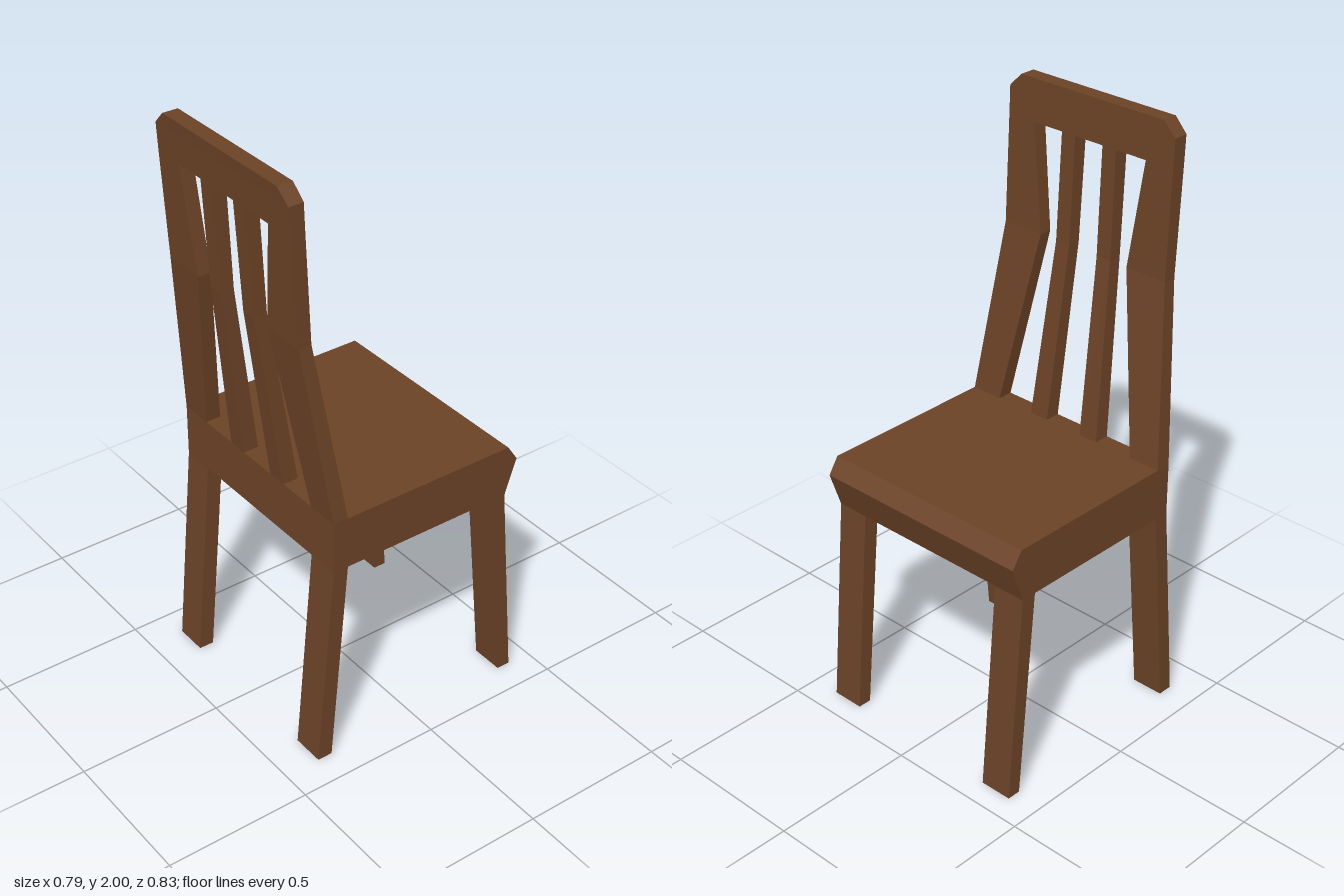
import * as THREE from 'three';

const wood = new THREE.MeshStandardMaterial({ color: 0x6b4226, flatShading: true });

// Closed solid through rectangular sections, bottom to top: [y, xMin, xMax, zMin, zMax]
function loft(name, sections) {
  const rings = sections.map(([y, x0, x1, z0, z1]) => [
    [x0, y, z1], [x1, y, z1], [x1, y, z0], [x0, y, z0],
  ]);
  const pos = [];
  const quad = (a, b, c, d) => pos.push(...a, ...b, ...c, ...a, ...c, ...d);
  for (let i = 0; i < rings.length - 1; i++) {
    const lo = rings[i], hi = rings[i + 1];
    for (let k = 0; k < 4; k++) {
      const n = (k + 1) % 4;
      quad(lo[k], lo[n], hi[n], hi[k]);
    }
  }
  const b = rings[0], t = rings[rings.length - 1];
  quad(b[3], b[2], b[1], b[0]);
  quad(t[0], t[1], t[2], t[3]);
  const geo = new THREE.BufferGeometry();
  geo.setAttribute('position', new THREE.Float32BufferAttribute(pos, 3));
  geo.computeVertexNormals();
  const mesh = new THREE.Mesh(geo, wood);
  mesh.name = name;
  return mesh;
}

export function createModel() {
  const group = new THREE.Group();
  group.name = 'chair';

  // Left part and its mirror image
  const pair = (name, sections) => {
    group.add(loft('left' + name, sections));
    group.add(loft('right' + name, sections.map(([y, x0, x1, z0, z1]) => [y, -x1, -x0, z0, z1])));
  };

  // Seat slab with a bevelled edge on the side away from the backrest
  group.add(loft('seat', [
    [0.72, -0.397, 0.397, -0.357, 0.313],
    [0.845, -0.397, 0.397, -0.4, 0.313],
    [0.9, -0.397, 0.397, -0.363, 0.313],
  ]));

  // Splayed legs
  pair('BackrestLeg', [
    [0, 0.284, 0.397, 0.323, 0.375],
    [0.72, 0.284, 0.397, 0.26, 0.313],
  ]);
  pair('SeatEdgeLeg', [
    [0, 0.284, 0.397, -0.417, -0.37],
    [0.72, 0.284, 0.397, -0.357, -0.303],
  ]);

  // Backrest posts, bent inwards at mid height
  pair('BackPost', [
    [0.9, 0.283, 0.397, 0.26, 0.313],
    [1.5, 0.178, 0.33, 0.34, 0.385],
    [1.86, 0.225, 0.33, 0.357, 0.407],
  ]);

  // Backrest slats
  pair('BackSlat', [
    [0.9, 0.071, 0.141, 0.26, 0.313],
    [1.5, 0.057, 0.112, 0.34, 0.385],
    [1.86, 0.055, 0.109, 0.357, 0.407],
  ]);

  // Top rail with clipped corners
  group.add(loft('topRail', [
    [1.86, -0.33, 0.33, 0.357, 0.407],
    [1.955, -0.33, 0.33, 0.361, 0.412],
    [2, -0.284, 0.284, 0.363, 0.416],
  ]));

  return group;
}
